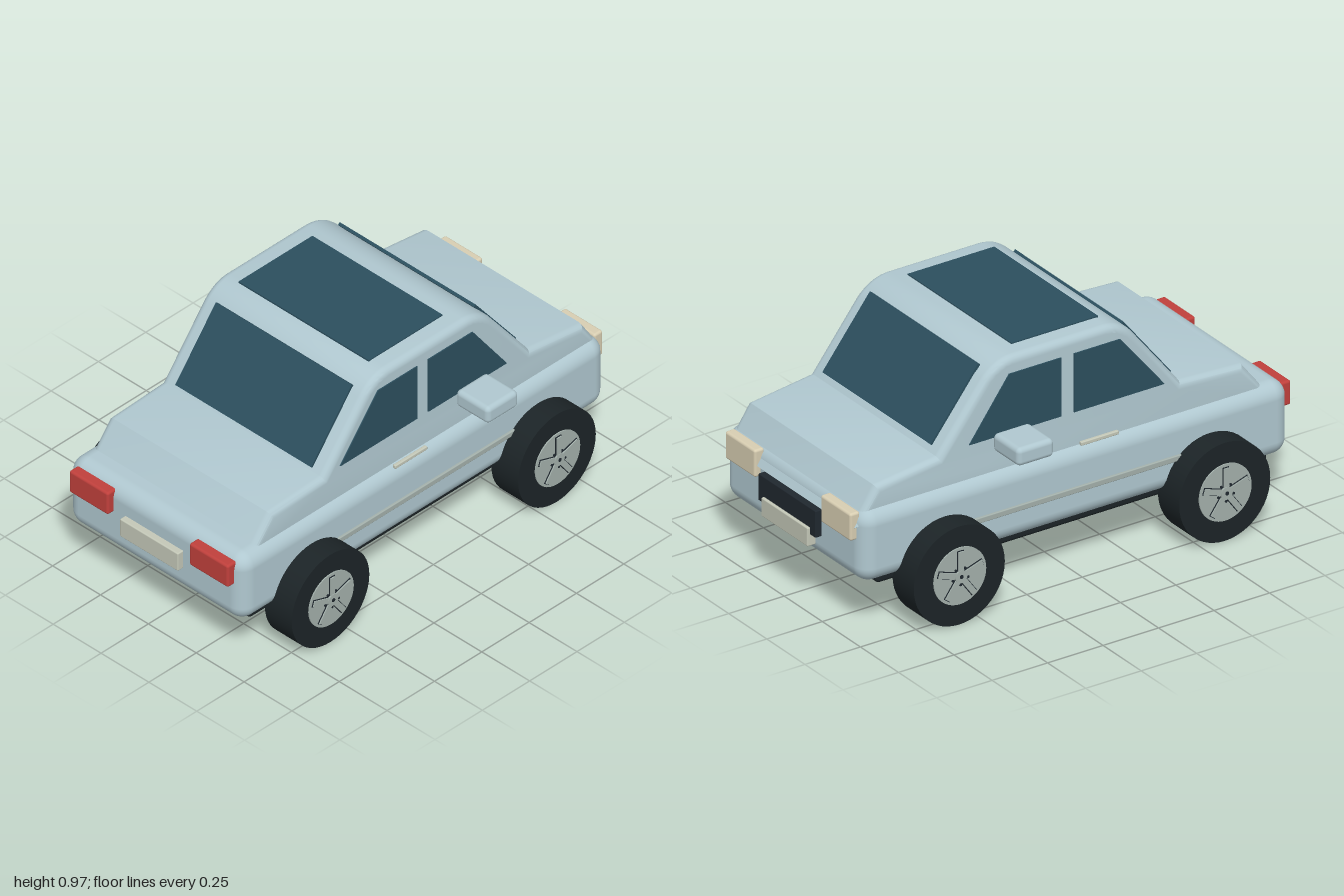
import * as THREE from 'three';
import { RoundedBoxGeometry } from 'three/addons/geometries/RoundedBoxGeometry.js';
import { toCreasedNormals } from 'three/addons/utils/BufferGeometryUtils.js';

const mat = (color) => new THREE.MeshStandardMaterial({ color });
const paint = mat(0xb0c8d0);
const glass = mat(0x2c4f5e);
const rubber = mat(0x1c2427);
const dark = mat(0x20282f);
const metal = mat(0xa3b0ab);
const chrome = mat(0xc4c8b8);
const lamp = mat(0xd8ceb2);
const red = mat(0xc0403c);

function add(parent, name, geometry, material, x = 0, y = 0, z = 0) {
  const mesh = new THREE.Mesh(geometry, material);
  mesh.name = name;
  mesh.position.set(x, y, z);
  parent.add(mesh);
  return mesh;
}

// Box given by its limits on each axis, with optional rounded edges
function block(parent, name, material, [x0, x1], [y0, y1], [z0, z1], radius = 0) {
  const size = [x1 - x0, y1 - y0, z1 - z0];
  const geometry = radius
    ? new RoundedBoxGeometry(...size, 5, radius)
    : new THREE.BoxGeometry(...size);
  return add(parent, name, geometry, material, (x0 + x1) / 2, (y0 + y1) / 2, (z0 + z1) / 2);
}

// Cabin, bonnet and boot as one side profile extruded across the car
function upperBody() {
  const s = new THREE.Shape();
  s.moveTo(-0.92, 0.445);
  s.lineTo(-0.78, 0.625);
  s.lineTo(-0.5, 0.638);
  s.lineTo(-0.295, 0.895);
  s.quadraticCurveTo(-0.24, 0.965, -0.16, 0.967);
  s.lineTo(0.25, 0.967);
  s.quadraticCurveTo(0.33, 0.965, 0.39, 0.9);
  s.lineTo(0.594, 0.638);
  s.lineTo(0.875, 0.6);
  s.lineTo(0.975, 0.445);
  s.closePath();
  const bevel = 0.03;
  const geometry = new THREE.ExtrudeGeometry(s, {
    depth: 0.85 - 2 * bevel, curveSegments: 10,
    bevelThickness: bevel, bevelSize: bevel, bevelOffset: -bevel, bevelSegments: 5,
  });
  geometry.translate(0, 0, bevel - 0.425);
  return toCreasedNormals(geometry, 0.45);
}

// Thin pane lying on a sloped line of the profile
function slopedPane(parent, name, x0, y0, x1, y1) {
  const length = Math.hypot(x1 - x0, y1 - y0);
  const pane = add(parent, name, new THREE.BoxGeometry(length, 0.012, 0.71), glass,
    (x0 + x1) / 2, (y0 + y1) / 2);
  pane.rotation.z = Math.atan2(y1 - y0, x1 - x0);
}

function sideWindow(parent, name, points, side) {
  const shape = new THREE.Shape(points.map(([x, y]) => new THREE.Vector2(x, y)));
  const geometry = new THREE.ExtrudeGeometry(shape, { depth: 0.01, bevelEnabled: false });
  add(parent, name, geometry, glass, 0, 0, side * 0.425 - 0.005);
}

// Wheel with its outer face towards +z
function makeWheel() {
  const wheel = new THREE.Group();
  const disc = (name, radius, z0, z1, material) =>
    add(wheel, name, new THREE.CylinderGeometry(radius, radius, z1 - z0, 48).rotateX(Math.PI / 2),
      material, 0, 0, (z0 + z1) / 2);
  disc('tyre', 0.205, -0.07, 0.07, rubber);
  disc('rim', 0.118, 0.06, 0.075, metal);
  disc('hubCap', 0.026, 0.07, 0.085, metal);
  disc('hubBolt', 0.008, 0.08, 0.087, dark);
  for (let i = 0; i < 5; i++) {
    const angle = (i / 5) * Math.PI * 2;
    const spoke = new THREE.Group();
    spoke.name = 'spoke';
    spoke.rotation.z = angle;
    wheel.add(spoke);
    add(spoke, 'spokeEdge', new THREE.BoxGeometry(0.029, 0.092, 0.006), dark, 0, 0.06, 0.075);
    add(spoke, 'spokeBar', new THREE.BoxGeometry(0.023, 0.086, 0.012), metal, 0, 0.06, 0.077);
    const bolt = new THREE.CylinderGeometry(0.005, 0.005, 0.008, 12).rotateX(Math.PI / 2);
    add(spoke, 'wheelBolt', bolt, dark, 0.021, 0.029, 0.077);
  }
  return wheel;
}

export function createModel() {
  const car = new THREE.Group();
  car.name = 'car';

  // Body shell
  block(car, 'lowerBody', paint, [-0.97, 0.96], [0.215, 0.52], [-0.46, 0.46], 0.065);
  add(car, 'upperBody', upperBody(), paint);
  block(car, 'underbody', rubber, [-0.89, 0.87], [0.19, 0.24], [-0.42, 0.42], 0.015);

  // Glass across the car
  slopedPane(car, 'windscreen', 0.58, 0.66, 0.365, 0.936);
  slopedPane(car, 'rearWindow', -0.28, 0.92, -0.495, 0.65);
  block(car, 'sunroof', glass, [-0.18, 0.21], [0.96, 0.972], [-0.34, 0.34]);

  // Parts on both flanks
  for (const side of [1, -1]) {
    const label = side > 0 ? 'right' : 'left';
    const span = (a, b) => (side > 0 ? [a, b] : [-b, -a]);
    sideWindow(car, 'rearSideWindow',
      [[-0.42, 0.655], [-0.012, 0.655], [-0.012, 0.9], [-0.22, 0.9]], side);
    sideWindow(car, 'frontSideWindow',
      [[0.045, 0.655], [0.46, 0.655], [0.28, 0.9], [0.045, 0.9]], side);
    block(car, label + 'Mirror', paint, [0.19, 0.355], [0.6, 0.675], span(0.425, 0.597), 0.02);
    block(car, label + 'DoorHandle', chrome, [-0.18, -0.01], [0.535, 0.551], span(0.465, 0.48), 0.004);
    block(car, label + 'TrimStrip', metal, [-0.47, 0.47], [0.338, 0.362], span(0.45, 0.469), 0.004);
    block(car, label + 'Headlight', lamp, [0.94, 0.985], [0.397, 0.511], span(0.215, 0.412), 0.01);
    block(car, label + 'TailLight', red, [-1.0, -0.95], [0.393, 0.495], span(0.212, 0.415), 0.01);
    for (const x of [-0.602, 0.594]) {
      const wheel = makeWheel();
      wheel.name = label + (x > 0 ? 'Front' : 'Rear') + 'Wheel';
      wheel.position.set(x, 0.205, side * 0.488);
      if (side < 0) wheel.rotation.y = Math.PI;
      car.add(wheel);
    }
  }

  // Grille and number plates
  block(car, 'grille', dark, [0.94, 0.988], [0.318, 0.43], [-0.188, 0.188], 0.004);
  block(car, 'frontPlate', chrome, [0.96, 1.0], [0.27, 0.348], [-0.152, 0.152], 0.005);
  block(car, 'rearPlate', chrome, [-0.998, -0.95], [0.328, 0.41], [-0.152, 0.152], 0.005);

  return car;
}
